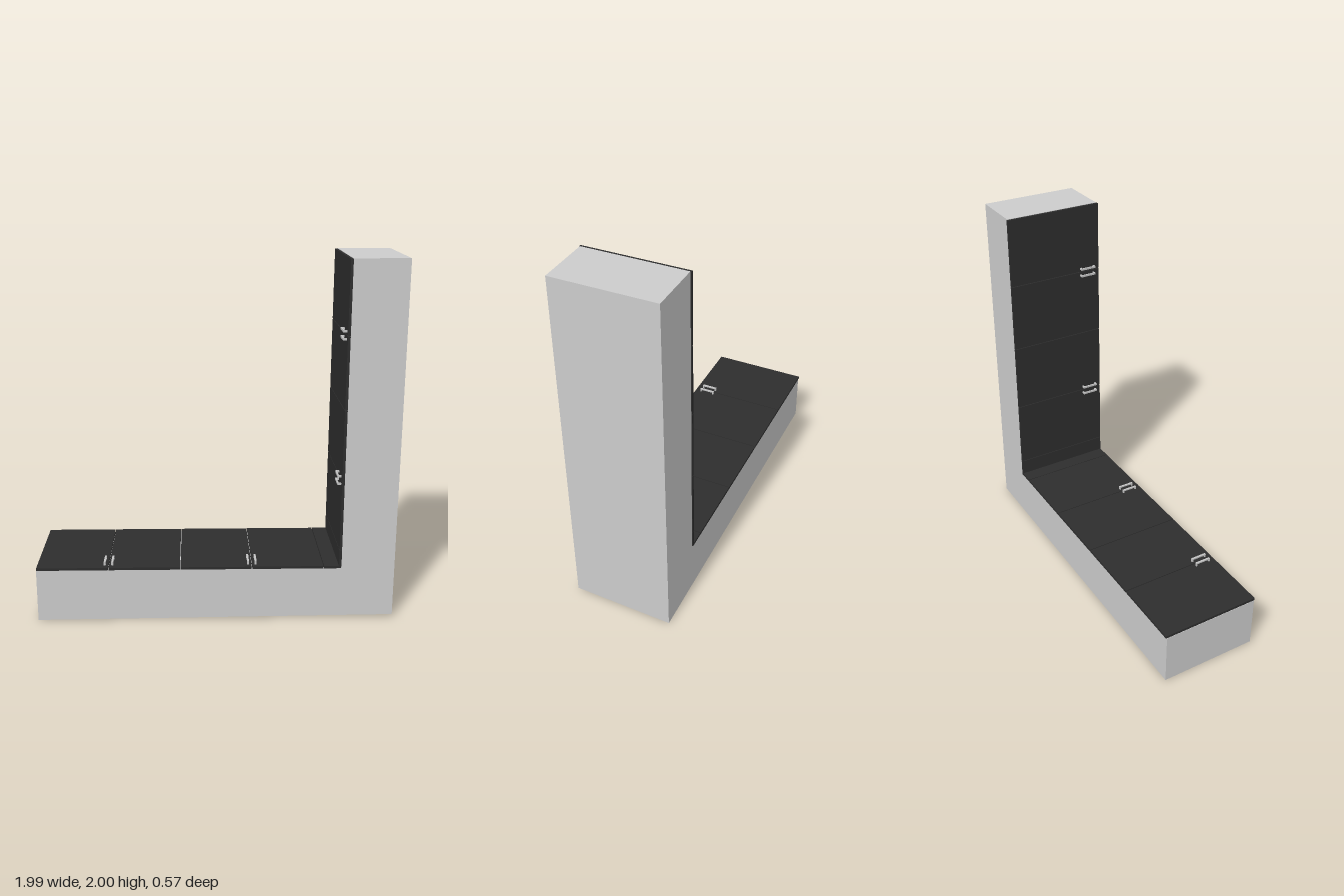
import * as THREE from 'three';

export function createModel() {
  const root = new THREE.Group();
  const mat = (name, color) => {
    const m = new THREE.MeshStandardMaterial({ color });
    m.name = name;
    return m;
  };
  const grey = mat('carcassGrey', 0xcccccc);
  const dark = mat('doorCharcoal', 0x2d2d2d);
  const steel = mat('handleSteel', 0xc4c4c4);

  const box = (parent, name, material, w, h, d, x, y, z) => {
    const mesh = new THREE.Mesh(new THREE.BoxGeometry(w, h, d), material);
    mesh.name = name;
    mesh.position.set(x, y, z);
    parent.add(mesh);
  };

  // L-shaped carcass: low run plus tall column
  const half = 0.278, end = 0.993, inner = 0.697, low = 0.301;
  const profile = new THREE.Shape([
    [-end, 0], [end, 0], [end, 2], [inner, 2], [inner, low], [-end, low],
  ].map(([x, y]) => new THREE.Vector2(x, y)));
  const carcassGeo = new THREE.ExtrudeGeometry(profile, { depth: 2 * half, bevelEnabled: false });
  carcassGeo.translate(0, 0, -half);
  // The front corner under the column sits slightly off the floor
  const p = carcassGeo.attributes.position;
  for (let i = 0; i < p.count; i++) {
    if (p.getX(i) > 0.9 && p.getY(i) < 0.01 && p.getZ(i) > 0) p.setY(i, 0.015);
  }
  carcassGeo.computeVertexNormals();
  const carcass = new THREE.Mesh(carcassGeo, grey);
  carcass.name = 'carcass';
  root.add(carcass);

  // One row of doors along local x, lying on local y = 0
  const pitch = 0.398, gap = 0.004, thick = 0.014, depth = 0.566;
  function doorRow(name) {
    const row = new THREE.Group();
    row.name = name;
    for (let i = 0; i < 4; i++) {
      box(row, 'door', dark, pitch - gap, thick, depth, (i + 0.5) * pitch, thick / 2, 0);
    }
    // Corner filler strip
    box(row, 'cornerFiller', dark, 0.094, thick, depth, 4 * pitch + 0.049, thick / 2, 0);
    // Paired bar handles beside every second seam
    for (const seam of [1, 3]) {
      for (const side of [-1, 1]) {
        const handle = new THREE.Group();
        handle.name = 'handle';
        handle.position.set(seam * pitch + side * 0.021, thick, 0.205);
        box(handle, 'handleBar', steel, 0.011, 0.008, 0.092, 0, 0.017, 0);
        for (const s of [-1, 1]) {
          box(handle, 'handlePost', steel, 0.011, 0.014, 0.008, 0, 0.007, s * 0.042);
        }
        row.add(handle);
      }
    }
    return row;
  }

  const lowRow = doorRow('lowDoors');
  lowRow.position.set(-end, low, 0);
  root.add(lowRow);

  // Column doors: local x runs down from the top, local y points to -x
  const tallRow = doorRow('columnDoors');
  tallRow.rotation.z = Math.PI / 2;
  tallRow.scale.x = -1;
  tallRow.position.set(inner, 2, 0);
  root.add(tallRow);

  return root;
}
